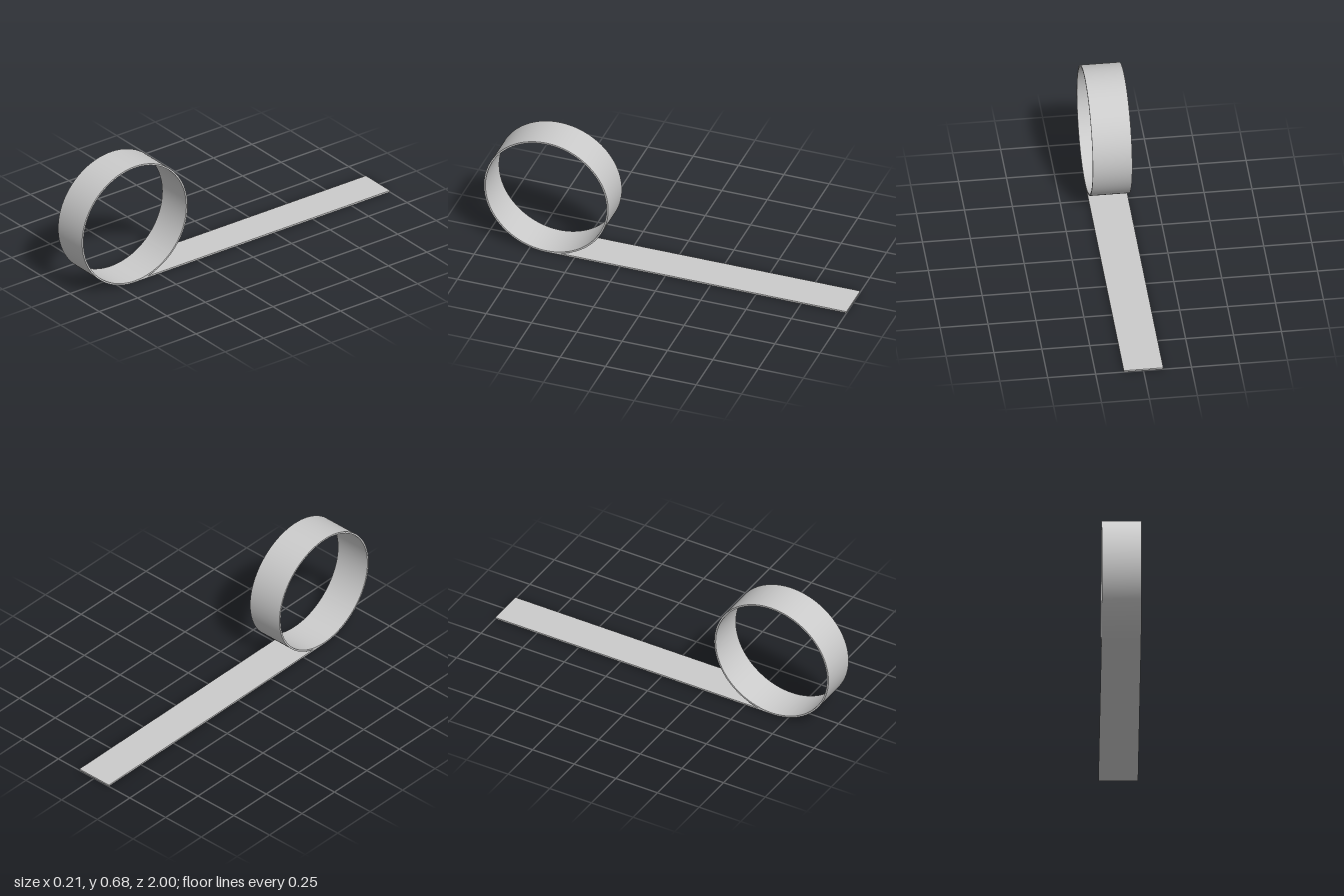
import * as THREE from 'three';
import { toCreasedNormals } from 'three/addons/utils/BufferGeometryUtils.js';

const WIDTH = 0.206, THICK = 0.009;
const RING_Z = 0.657, RADIUS_Z = 0.343, RADIUS_Y = 0.339;

export function createModel() {
  const group = new THREE.Group();
  group.name = 'loopedStrip';
  const material = new THREE.MeshStandardMaterial({ color: 0xcccccc });

  // Upright thin band, extruded across the width
  const shape = new THREE.Shape();
  shape.absellipse(0, 0, RADIUS_Z, RADIUS_Y, 0, Math.PI * 2, false);
  const hole = new THREE.Path();
  hole.absellipse(0, 0, RADIUS_Z - THICK, RADIUS_Y - THICK, 0, Math.PI * 2, true);
  shape.holes.push(hole);
  const ringGeometry = new THREE.ExtrudeGeometry(shape, {
    depth: WIDTH, bevelEnabled: false, curveSegments: 96,
  });
  ringGeometry.translate(0, 0, -WIDTH / 2);
  ringGeometry.rotateY(Math.PI / 2);
  const ring = new THREE.Mesh(toCreasedNormals(ringGeometry, Math.PI / 6), material);
  ring.name = 'ring';
  ring.position.set(0, RADIUS_Y, RING_Z);
  group.add(ring);

  // Flat tail lying on the ground, ending under the ring's centre
  const length = RING_Z + 1;
  const tail = new THREE.Mesh(new THREE.BoxGeometry(WIDTH, THICK, length), material);
  tail.name = 'tail';
  tail.position.set(0, THICK / 2, -1 + length / 2);
  group.add(tail);

  return group;
}
